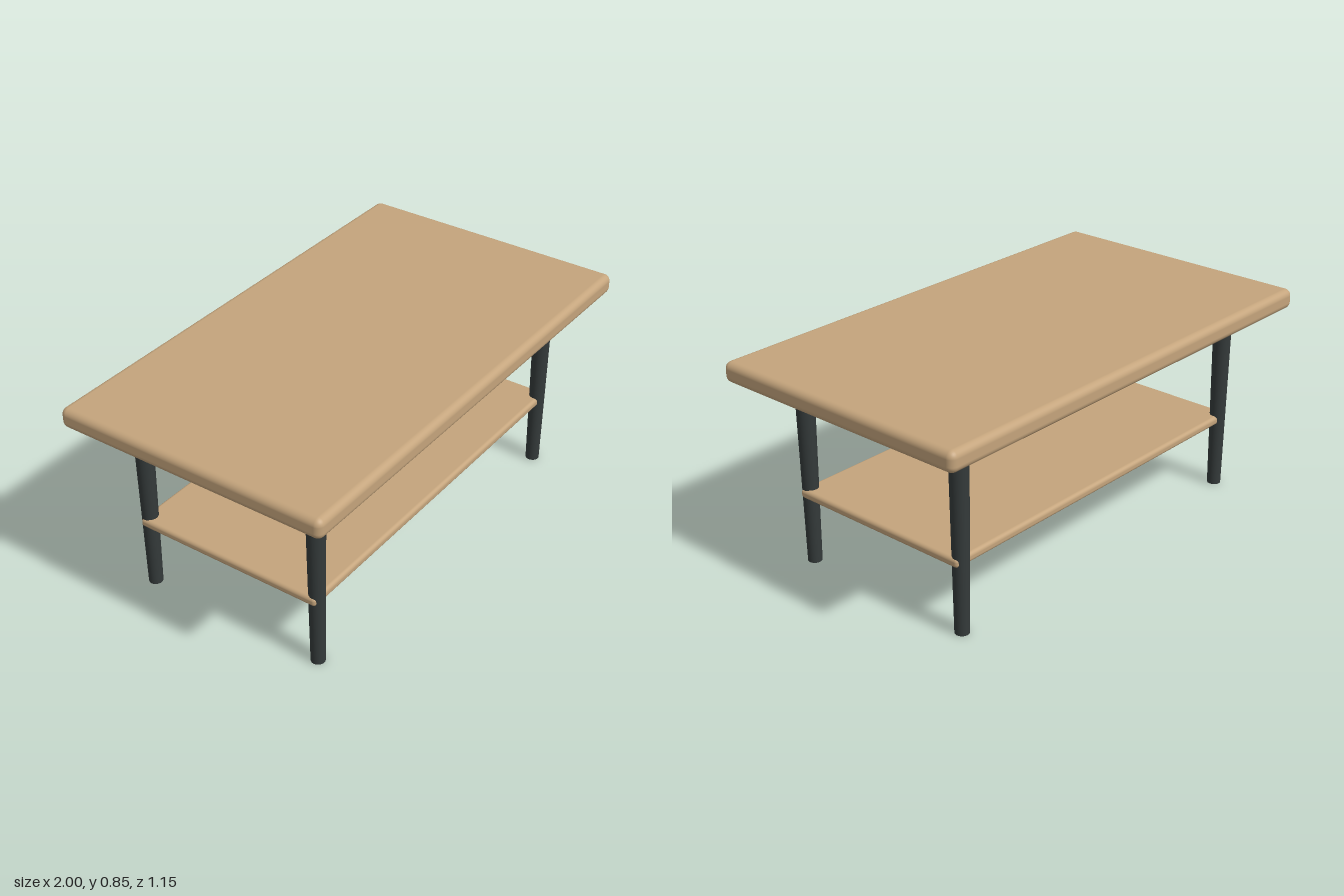
import * as THREE from 'three';
import { RoundedBoxGeometry } from 'three/addons/geometries/RoundedBoxGeometry.js';

export function createModel() {
  const table = new THREE.Group();
  table.name = 'coffeeTable';
  const wood = new THREE.MeshStandardMaterial({ color: 0xc4a47c });
  const dark = new THREE.MeshStandardMaterial({ color: 0x343a3a });

  // Rounded slab spanning the heights y0 to y1
  function addSlab(name, width, depth, y0, y1, radius) {
    const slab = new THREE.Mesh(new RoundedBoxGeometry(width, y1 - y0, depth, 4, radius), wood);
    slab.name = name;
    slab.position.y = (y0 + y1) / 2;
    table.add(slab);
  }
  addSlab('tableTop', 2, 1.146, 0.77, 0.853, 0.028);
  addSlab('lowerShelf', 1.63, 0.815, 0.279, 0.317, 0.015);

  // Four round legs, tapering towards the floor
  const legHeight = 0.771;
  const legGeometry = new THREE.CylinderGeometry(0.038, 0.028, legHeight, 24);
  for (const x of [-1, 1]) {
    for (const z of [-1, 1]) {
      const leg = new THREE.Mesh(legGeometry, dark);
      leg.name = (z > 0 ? 'front' : 'back') + (x > 0 ? 'Left' : 'Right') + 'Leg';
      leg.position.set(x * 0.778, legHeight / 2, z * 0.39);
      table.add(leg);
    }
  }
  return table;
}
